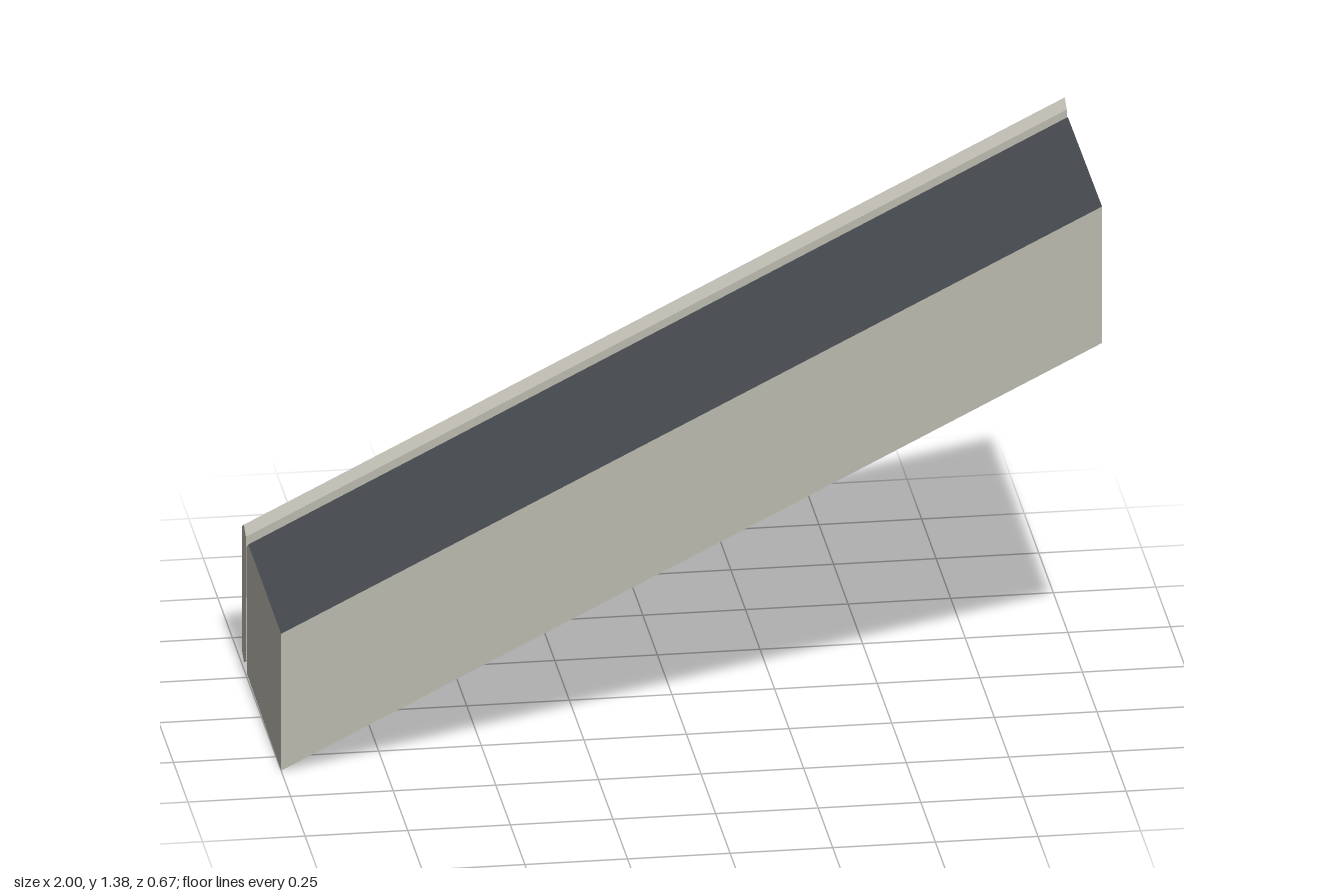
import * as THREE from 'three';

const concrete = new THREE.MeshStandardMaterial({ color: 0xbab8ae });
concrete.name = 'concrete';
const asphalt = new THREE.MeshStandardMaterial({ color: 0x484c51 });
asphalt.name = 'asphalt';

// Loft between two [z, y] sections at x = -1 and x = 1, listed clockwise seen from +x.
// The first `deckSides` sides use the second material.
function loft(low, high, deckSides = 0) {
  const L = low.map(([z, y]) => new THREE.Vector3(-1, y, z));
  const H = high.map(([z, y]) => new THREE.Vector3(1, y, z));
  const pts = [];
  const tri = (a, b, c) => {
    if (new THREE.Triangle(a, b, c).getArea() > 1e-6) pts.push(a, b, c);
  };
  const n = L.length;
  let deckCount = 0;
  for (let i = 0; i < n; i++) {
    const j = (i + 1) % n;
    tri(L[i], H[i], H[j]);
    tri(L[i], H[j], L[j]);
    if (i === deckSides - 1) deckCount = pts.length;
  }
  // End caps
  for (let i = 1; i < n - 1; i++) {
    tri(H[0], H[i + 1], H[i]);
    tri(L[0], L[i], L[i + 1]);
  }
  const geometry = new THREE.BufferGeometry().setFromPoints(pts);
  geometry.computeVertexNormals();
  if (deckCount) geometry.addGroup(0, deckCount, 1);
  geometry.addGroup(deckCount, pts.length - deckCount, 0);
  return geometry;
}

function addPart(group, name, geometry) {
  const mesh = new THREE.Mesh(geometry, [concrete, asphalt]);
  mesh.name = name;
  group.add(mesh);
}

export function createModel() {
  const model = new THREE.Group();
  model.name = 'ramp';

  // Sloped slab with a dark deck; the back corner bevel runs out along its length
  addPart(model, 'rampSlab', loft(
    [[0.338, 0.36], [-0.225, 0.36], [-0.255, 0.341], [-0.25, 0.012], [-0.25, 0.012], [0.338, 0.002]],
    [[0.338, 1.36], [-0.25, 1.35], [-0.25, 1.35], [-0.255, 1.022], [-0.225, 1.003], [0.338, 1.003]],
    2,
  ));

  // Thin side wall with a ridged top and bottom
  const wall = [[-0.268, 0.362], [-0.302, 0.38], [-0.336, 0.362], [-0.336, 0.038], [-0.302, 0.02], [-0.268, 0.038]];
  addPart(model, 'sideWall', loft(wall, wall.map(([z, y]) => [z, y + 1])));

  return model;
}
